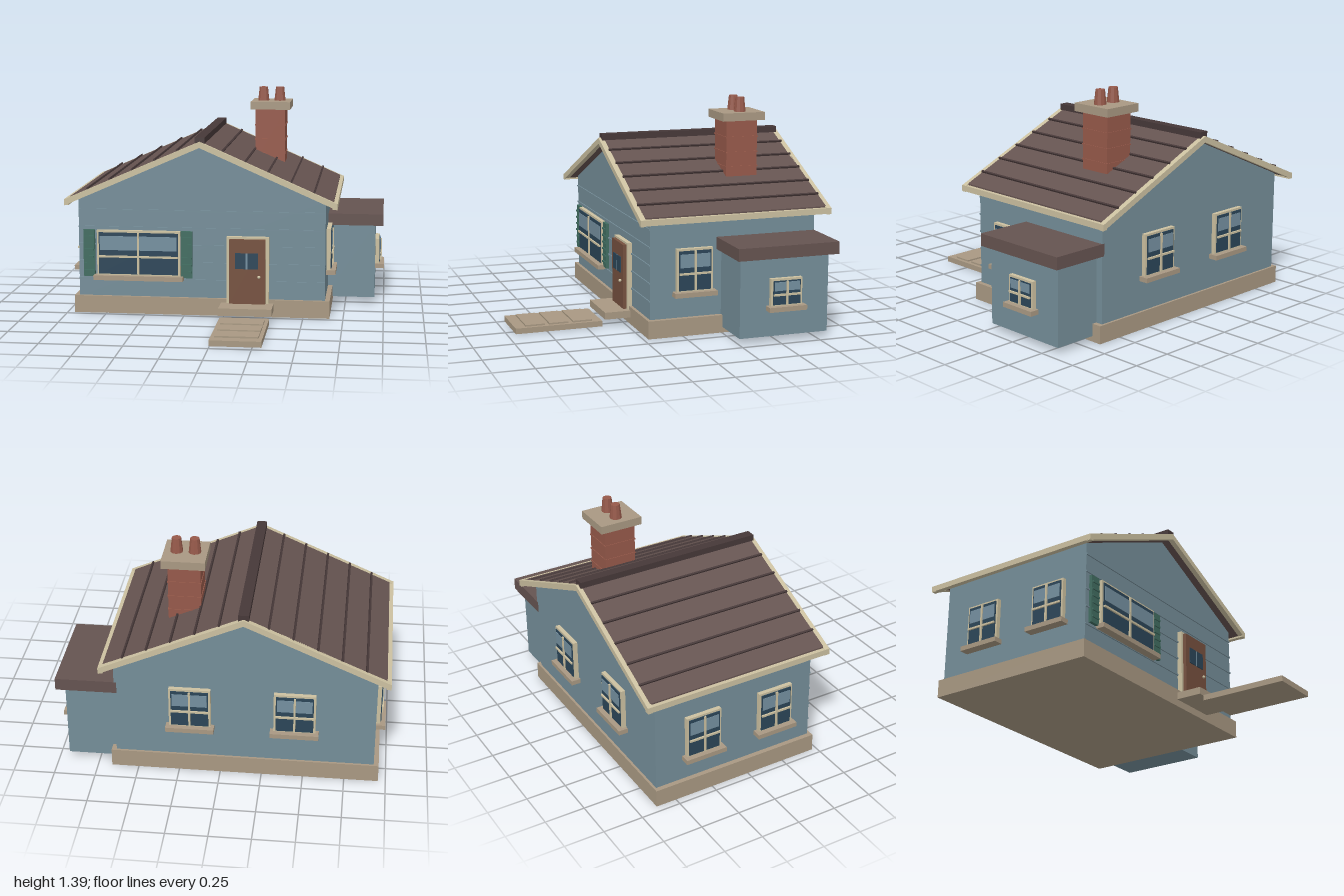
import * as THREE from 'three';

const mat = (name, color) => {
  const m = new THREE.MeshStandardMaterial({ color });
  m.name = name;
  return m;
};

export function createModel() {
  const M = {
    wall: mat('wallBlue', 0x748d98),
    stone: mat('stone', 0xa89882),
    trim: mat('creamTrim', 0xcbc0a0),
    roof: mat('roofBrown', 0x655350),
    seam: mat('roofSeam', 0x463838),
    brick: mat('brick', 0x96594a),
    door: mat('doorBrown', 0x75503e),
    glass: mat('darkGlass', 0x2b4558),
    shine: mat('paleGlass', 0x748f9f),
    shutter: mat('shutterGreen', 0x406c60),
  };
  const house = new THREE.Group();
  house.name = 'house';

  const add = (parent, name, geo, material) => {
    const mesh = new THREE.Mesh(geo, material);
    mesh.name = name;
    parent.add(mesh);
    return mesh;
  };
  // Box given by its minimum and maximum on each axis
  const box = (parent, name, material, x0, x1, y0, y1, z0, z1) => {
    const b = add(parent, name, new THREE.BoxGeometry(x1 - x0, y1 - y0, z1 - z0), material);
    b.position.set((x0 + x1) / 2, (y0 + y1) / 2, (z0 + z1) / 2);
    return b;
  };
  // Outline in x and y, extruded from z0 to z1
  const prism = (name, material, points, z0, z1) => {
    const shape = new THREE.Shape(points.map(([x, y]) => new THREE.Vector2(x, y)));
    const geo = new THREE.ExtrudeGeometry(shape, { depth: z1 - z0, bevelEnabled: false });
    geo.translate(0, 0, z0);
    return add(house, name, geo, material);
  };

  // Foundation and gabled walls
  const ridgeX = -0.145, ridgeY = 1.11, slope = 0.438;
  box(house, 'foundation', M.stone, -0.955, 0.665, 0, 0.11, -0.88, 0.22);
  prism('walls', M.wall, [[-0.925, 0.1], [0.635, 0.1], [0.635, 0.74], [ridgeX, 1.085], [-0.925, 0.74]], -0.865, 0.2);
  for (let i = 0; i < 5; i++) {
    const y = 0.221 + i * 0.1105;
    box(house, 'sidingBoard', M.wall, -0.925, 0.635, y - 0.005, y + 0.005, 0.195, 0.207);
  }

  // Roof slabs, bargeboards and fascias
  const chevron = (half, thick) => [
    [ridgeX - half, ridgeY - half * slope], [ridgeX - half, ridgeY - half * slope - thick],
    [ridgeX, ridgeY - thick], [ridgeX + half, ridgeY - half * slope - thick],
    [ridgeX + half, ridgeY - half * slope], [ridgeX, ridgeY],
  ];
  prism('roof', M.roof, chevron(0.83, 0.035), -0.92, 0.255);
  prism('frontBargeboard', M.trim, chevron(0.853, 0.038), 0.25, 0.283);
  prism('backBargeboard', M.trim, chevron(0.853, 0.038), -0.947, -0.914);
  for (const s of [-1, 1]) {
    const x = ridgeX + s * 0.84;
    box(house, 'eaveFascia', M.trim, x - 0.015, x + 0.015, 0.702, 0.738, -0.947, 0.283);
    // Raised seams along the roof courses
    for (let i = 1; i <= 5; i++) {
      const seam = add(house, 'roofSeam', new THREE.BoxGeometry(0.012, 0.016, 1.18), M.seam);
      seam.position.set(ridgeX + s * i * 0.142, ridgeY - i * 0.142 * slope + 0.003, -0.332);
      seam.rotation.z = -s * Math.atan(slope);
    }
  }
  box(house, 'ridgeCap', M.seam, ridgeX - 0.031, ridgeX + 0.031, 1.095, 1.135, -0.932, 0.268);

  // Chimney with brick courses, cap and two pots
  box(house, 'chimney', M.brick, 0.14, 0.335, 0.9, 1.25, -0.604, -0.4);
  for (const y of [0.96, 1.05, 1.145]) {
    box(house, 'brickCourse', M.brick, 0.136, 0.339, y - 0.004, y + 0.004, -0.608, -0.396);
  }
  box(house, 'chimneyCap', M.stone, 0.11, 0.37, 1.25, 1.3, -0.64, -0.365);
  for (const x of [0.185, 0.293]) {
    const geo = new THREE.CylinderGeometry(0.028, 0.038, 0.09, 10).toNonIndexed();
    geo.computeVertexNormals();
    add(house, 'chimneyPot', geo, M.brick).position.set(x, 1.345, -0.503);
  }

  // Side annex with flat roof
  box(house, 'annexWalls', M.wall, 0.62, 0.94, 0.035, 0.52, -0.82, -0.254);
  box(house, 'annexRoof', M.roof, 0.62, 0.99, 0.517, 0.592, -0.866, -0.222);

  // Window facing local +z, with its bottom centre at the given point
  const addWindow = (name, w, h, x, y, z, turn) => {
    const g = new THREE.Group();
    g.name = name;
    g.position.set(x, y, z);
    g.rotation.y = turn;
    house.add(g);
    const a = w / 2, b = a - 0.013, bar = 0.43 * h;
    box(g, 'frame', M.trim, -a, a, 0, h, -0.01, 0.027);
    box(g, 'pane', M.glass, -b, b, 0.012, h - 0.013, 0.02, 0.033);
    box(g, 'reflection', M.shine, -b + 0.007, b - 0.007, h * 0.57, h * 0.88, 0.03, 0.036);
    box(g, 'verticalBar', M.trim, -0.006, 0.006, 0.012, h - 0.013, 0.03, 0.043);
    box(g, 'horizontalBar', M.trim, -b, b, bar - 0.006, bar + 0.006, 0.03, 0.043);
    box(g, 'sill', M.stone, -a - 0.02, a + 0.02, -0.025, 0.004, -0.01, 0.06);
  };
  addWindow('frontWindow', 0.53, 0.29, -0.54, 0.245, 0.2, 0);
  addWindow('rightWindow', 0.23, 0.268, 0.635, 0.27, -0.075, Math.PI / 2);
  addWindow('annexWindow', 0.2, 0.17, 0.94, 0.22, -0.54, Math.PI / 2);
  for (const z of [-0.555, -0.06]) addWindow('leftWindow', 0.23, 0.268, -0.925, 0.27, z, -Math.PI / 2);
  for (const x of [0.18, -0.445]) addWindow('backWindow', 0.25, 0.26, x, 0.325, -0.865, Math.PI);

  // Louvred shutters beside the front window
  for (const x of [-0.857, -0.235]) {
    box(house, 'shutter', M.shutter, x - 0.036, x + 0.036, 0.237, 0.535, 0.19, 0.22);
    for (let i = 0; i < 6; i++) {
      const y = 0.275 + i * 0.044;
      box(house, 'shutterSlat', M.shutter, x - 0.03, x + 0.03, y - 0.006, y + 0.006, 0.215, 0.228);
    }
  }

  // Front door
  box(house, 'doorFrame', M.trim, 0.02, 0.285, 0.085, 0.51, 0.19, 0.23);
  box(house, 'door', M.door, 0.038, 0.264, 0.085, 0.497, 0.22, 0.252);
  for (const x of [0.108, 0.187]) {
    box(house, 'doorPane', M.glass, x - 0.033, x + 0.033, 0.312, 0.412, 0.24, 0.258);
  }
  box(house, 'doorPaneBar', M.shine, 0.141, 0.154, 0.312, 0.412, 0.24, 0.257);
  const knob = add(house, 'doorKnob', new THREE.SphereGeometry(0.01, 10, 8), M.trim);
  knob.position.set(0.225, 0.263, 0.26);

  // Doorstep and paved path
  box(house, 'doorstep', M.stone, -0.017, 0.315, 0.044, 0.088, 0.2, 0.385);
  box(house, 'path', M.stone, -0.005, 0.303, 0, 0.035, 0.4, 0.947);
  for (let i = 0; i < 3; i++) {
    const z = 0.52 + i * 0.15;
    box(house, 'pavingSlab', M.stone, 0.02, 0.28, 0.03, 0.045, z - 0.06, z + 0.06);
  }
  return house;
}
